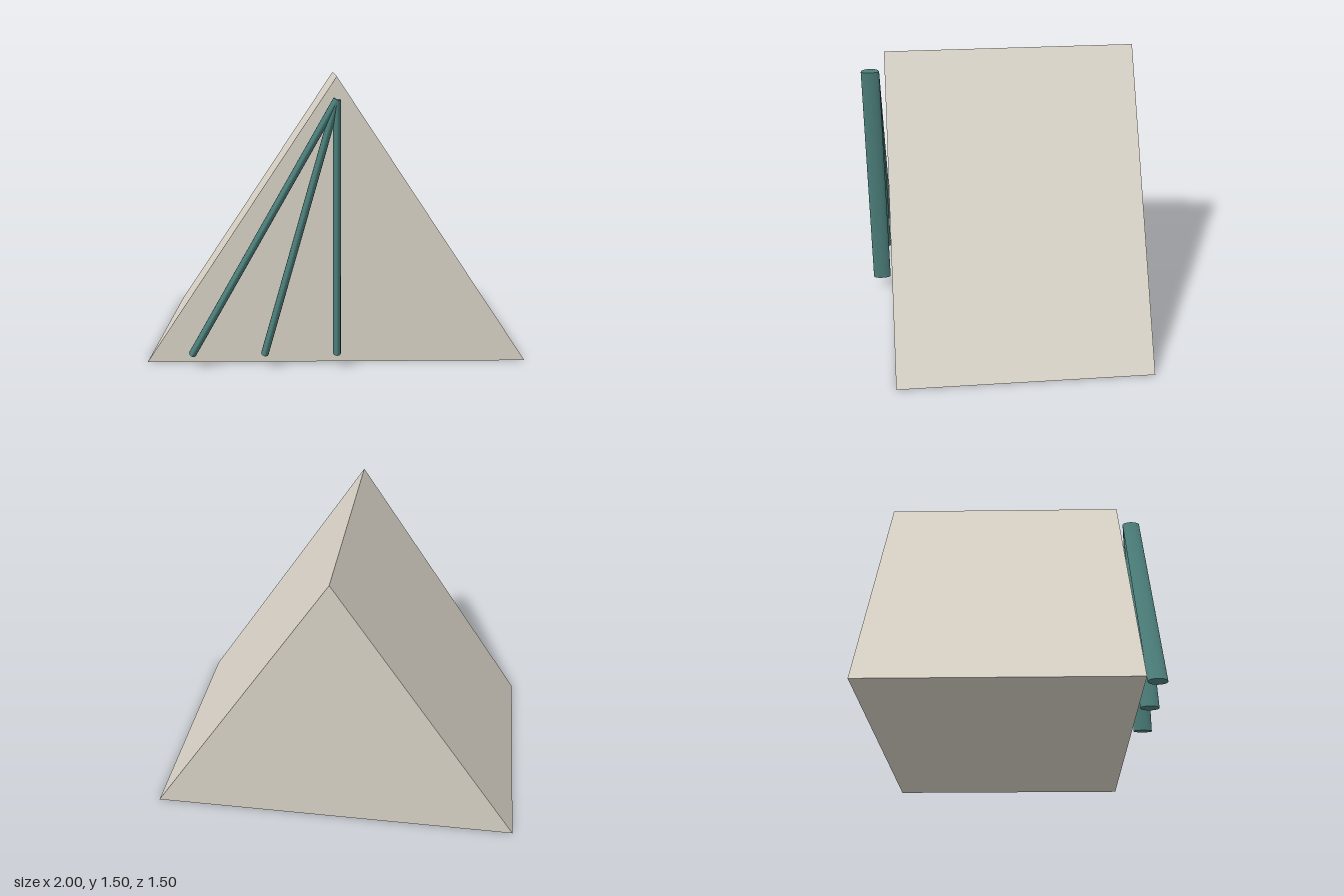
import * as THREE from 'three';

export function createModel() {
  const group = new THREE.Group();
  const canvas = new THREE.MeshStandardMaterial({ name: 'canvas beige', color: 0xd9d3c7 });
  const teal = new THREE.MeshStandardMaterial({ name: 'pole teal', color: 0x4a7c78 });

  // Tent body: a solid triangular prism along z
  const gable = new THREE.Shape([
    new THREE.Vector2(-1, 0),
    new THREE.Vector2(1, 0),
    new THREE.Vector2(0, 1.5),
  ]);
  const body = new THREE.Mesh(
    new THREE.ExtrudeGeometry(gable, { depth: 1.368, bevelEnabled: false }), canvas);
  body.name = 'tentBody';
  body.position.z = -0.75;
  group.add(body);

  // Flattened poles fanning out from a point under the ridge
  const top = new THREE.Vector3(0, 1.386, 0.7);
  const poles = new THREE.Group();
  poles.name = 'frontPoles';
  [0, -0.375, -0.75].forEach((x, i) => {
    const foot = new THREE.Vector3(x, 0.071, 0.7);
    const length = top.distanceTo(foot);
    const pole = new THREE.Mesh(new THREE.CylinderGeometry(1, 1, length, 32), teal);
    pole.name = 'pole' + (i + 1);
    pole.scale.set(0.02, 1, 0.05);
    pole.position.copy(top).add(foot).multiplyScalar(0.5);
    pole.rotation.z = Math.atan2(x, top.y - foot.y);
    poles.add(pole);
  });
  group.add(poles);
  return group;
}
